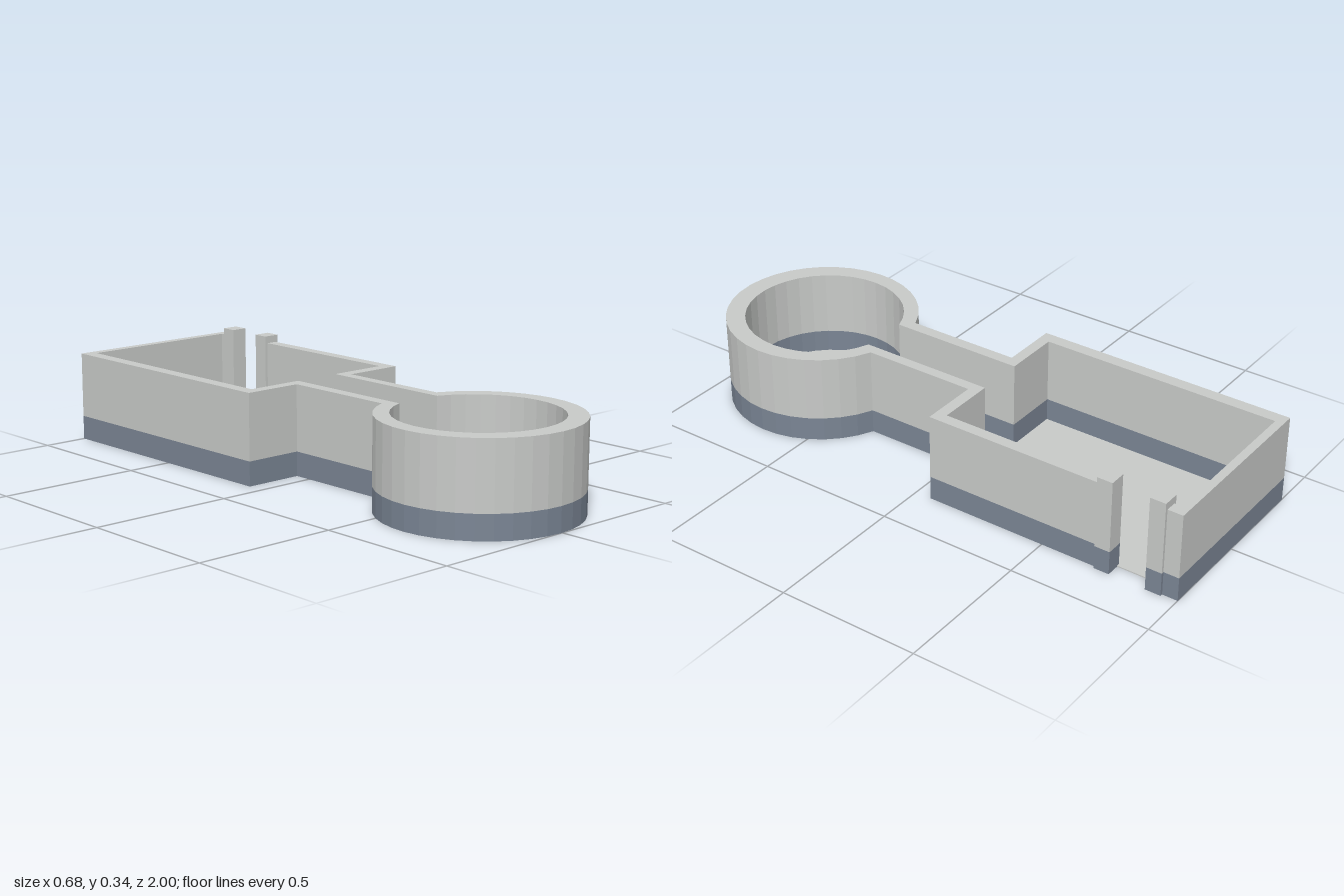
import * as THREE from 'three';

const wallGrey = new THREE.MeshStandardMaterial({ color: 0xc8cac8 });
wallGrey.name = 'light grey';
const bandBlue = new THREE.MeshStandardMaterial({ color: 0x7a8594 });
bandBlue.name = 'slate blue';

const BAND = 0.085, WALL_TOP = 0.316, POST_TOP = 0.342;

// Plan outline [x, z] from the right side of the passage, around the round room, back to the left side
function roundRoom(left, right, cx, cz, r, segments = 32) {
  const a0 = Math.asin((right - cx) / r), a1 = 2 * Math.PI + Math.asin((left - cx) / r);
  const points = [];
  for (let i = 0; i <= segments; i++) {
    const a = a0 + (a1 - a0) * i / segments;
    points.push([cx + r * Math.sin(a), cz - r * Math.cos(a)]);
  }
  return points;
}

// Full plan without the doorway edge: right wall, passage, round room, passage, left wall, back wall
function plan(x0, x1, z0, z1, passL, passR, cz, r) {
  return [
    [x1, z1], [passR, z1],
    ...roundRoom(passL, passR, -0.006, cz, r),
    [passL, z1], [x0, z1], [x0, z0], [x1, z0],
  ];
}

// Extrude a plan upwards from y0 to y1
function slab(name, points, y0, y1, material) {
  const shape = new THREE.Shape(points.map(([x, z]) => new THREE.Vector2(x, -z)));
  const geometry = new THREE.ExtrudeGeometry(shape, { depth: y1 - y0, bevelEnabled: false });
  geometry.rotateX(-Math.PI / 2).translate(0, y0, 0);
  const mesh = new THREE.Mesh(geometry, material);
  mesh.name = name;
  return mesh;
}

export function createModel() {
  const model = new THREE.Group();
  model.name = 'floorPlan';

  const outer = plan(-0.34, 0.33, -1, -0.06, -0.132, 0.118, 0.662, 0.338);
  const inner = plan(-0.295, 0.29, -0.97, -0.1, -0.09, 0.08, 0.652, 0.278);

  // Walls run as one strip that is open at the doorway
  const doorFront = -0.73, doorBack = -0.92;
  const strip = [
    [0.33, doorFront], ...outer, [0.33, doorBack],
    [0.29, doorBack], ...inner.slice().reverse(), [0.29, doorFront],
  ];
  model.add(slab('wallBand', strip, 0, BAND, [wallGrey, bandBlue]));
  model.add(slab('wall', strip, BAND, WALL_TOP, wallGrey));

  // Thin floor inside the walls
  model.add(slab('floor', inner, 0, 0.004, wallGrey));

  // Door posts
  for (const [side, z] of [['front', -0.73], ['back', -0.917]]) {
    const post = new THREE.Group();
    post.name = side + 'DoorPost';
    const square = [[0.28, z - 0.028], [0.34, z - 0.028], [0.34, z + 0.028], [0.28, z + 0.028]];
    post.add(slab('postBand', square, 0.001, BAND, [wallGrey, bandBlue]));
    post.add(slab('postShaft', square, BAND, POST_TOP, wallGrey));
    model.add(post);
  }
  return model;
}
